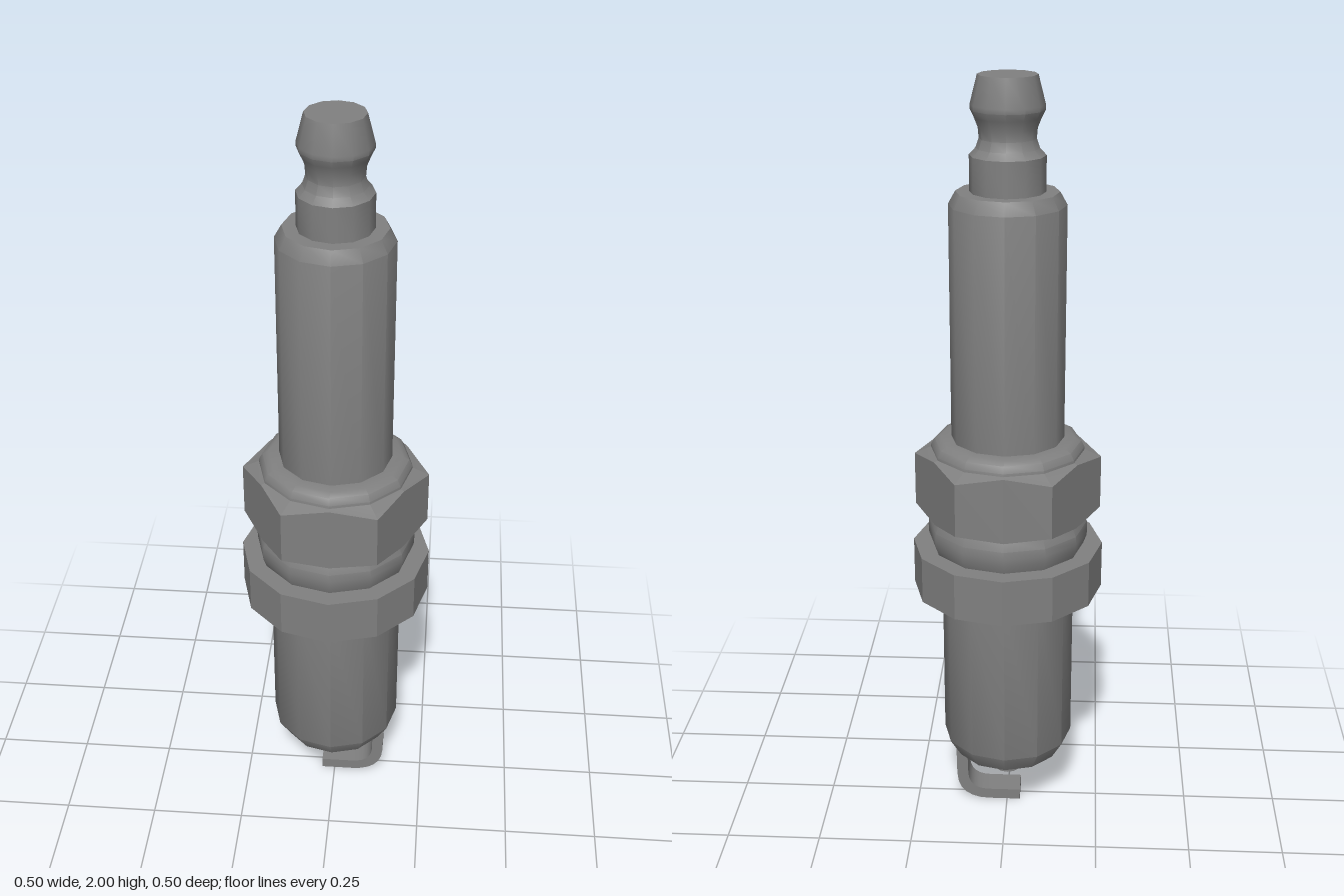
import * as THREE from 'three';
import { toCreasedNormals } from 'three/addons/utils/BufferGeometryUtils.js';

const SIDES = 12;
const steel = new THREE.MeshStandardMaterial({ color: 0x808080 });
steel.name = 'greyMetal';

// Turned part: profile of [radius, y] from bottom to top
function turned(name, profile, crease = 0.6) {
  const points = profile.map(([r, y]) => new THREE.Vector2(r, y));
  const mesh = new THREE.Mesh(toCreasedNormals(new THREE.LatheGeometry(points, SIDES), crease), steel);
  mesh.name = name;
  return mesh;
}

// Hexagonal nut: every odd column is a corner, every even one the middle of a flat
function hexNut() {
  const rows = [[0.15, 0.875, 0.875], [0.2, 0.875, 0.875], [0.21, 0.875, 0.892],
    [0.21, 1.05, 1.033], [0.2, 1.053, 1.053], [0.14, 1.053, 1.053]];
  const geometry = new THREE.LatheGeometry(rows.map(([r, y]) => new THREE.Vector2(r, y)), SIDES);
  const p = geometry.attributes.position;
  for (let i = 0; i < p.count; i++) {
    const row = i % rows.length;
    const column = Math.floor(i / rows.length);
    if (column % 2 === 1 && (row === 2 || row === 3)) {
      const s = 1 / Math.cos(Math.PI / 6);
      p.setXYZ(i, p.getX(i) * s, rows[row][2], p.getZ(i) * s);
    }
  }
  const mesh = new THREE.Mesh(toCreasedNormals(geometry, 0.2), steel);
  mesh.name = 'hexNut';
  return mesh;
}

// Bent strap reaching under the centre electrode
function groundStrap() {
  const s = new THREE.Shape();
  s.moveTo(0.142, 0.18);
  s.lineTo(0.112, 0.18);
  s.lineTo(0.109, 0.08);
  s.quadraticCurveTo(0.106, 0.03, 0.05, 0.03);
  s.lineTo(-0.036, 0.03);
  s.lineTo(-0.036, 0);
  s.lineTo(0.05, 0);
  s.bezierCurveTo(0.105, 0, 0.138, 0.025, 0.14, 0.08);
  s.closePath();
  const depth = 0.074;
  const geometry = new THREE.ExtrudeGeometry(s, { depth, bevelEnabled: false, curveSegments: 6 });
  geometry.translate(0, 0, -depth / 2);
  const mesh = new THREE.Mesh(toCreasedNormals(geometry, 0.6), steel);
  mesh.name = 'groundStrap';
  return mesh;
}

export function createModel() {
  const group = new THREE.Group();
  group.name = 'sparkPlug';
  group.add(
    // Shell with a recessed lower end
    turned('threadedShell', [[0, 0.3], [0.115, 0.3], [0.115, 0.165], [0.145, 0.165],
      [0.175, 0.215], [0.175, 0.67]]),
    turned('insulatorNose', [[0, 0.115], [0.05, 0.115], [0.068, 0.13], [0.068, 0.3]]),
    turned('centreElectrode', [[0, 0.088], [0.037, 0.088], [0.037, 0.118]]),
    groundStrap(),
    turned('flange', [[0.17, 0.663], [0.25, 0.663], [0.25, 0.788], [0.19, 0.788]], 0.3),
    turned('crushRing', [[0.2, 0.785], [0.209, 0.81], [0.21, 0.83], [0.209, 0.85], [0.198, 0.876]]),
    hexNut(),
    turned('collar', [[0.2, 1.045], [0.199, 1.06], [0.19, 1.077], [0.174, 1.086], [0.14, 1.086]]),
    turned('insulator', [[0.146, 1.08], [0.146, 1.69], [0.128, 1.722], [0.09, 1.722]]),
    // Terminal stud with a waisted neck
    turned('terminal', [[0.094, 1.72], [0.094, 1.81], [0.078, 1.827], [0.07, 1.85], [0.072, 1.875],
      [0.082, 1.9], [0.091, 1.918], [0.091, 1.93], [0.073, 2], [0, 2]]),
  );
  return group;
}
